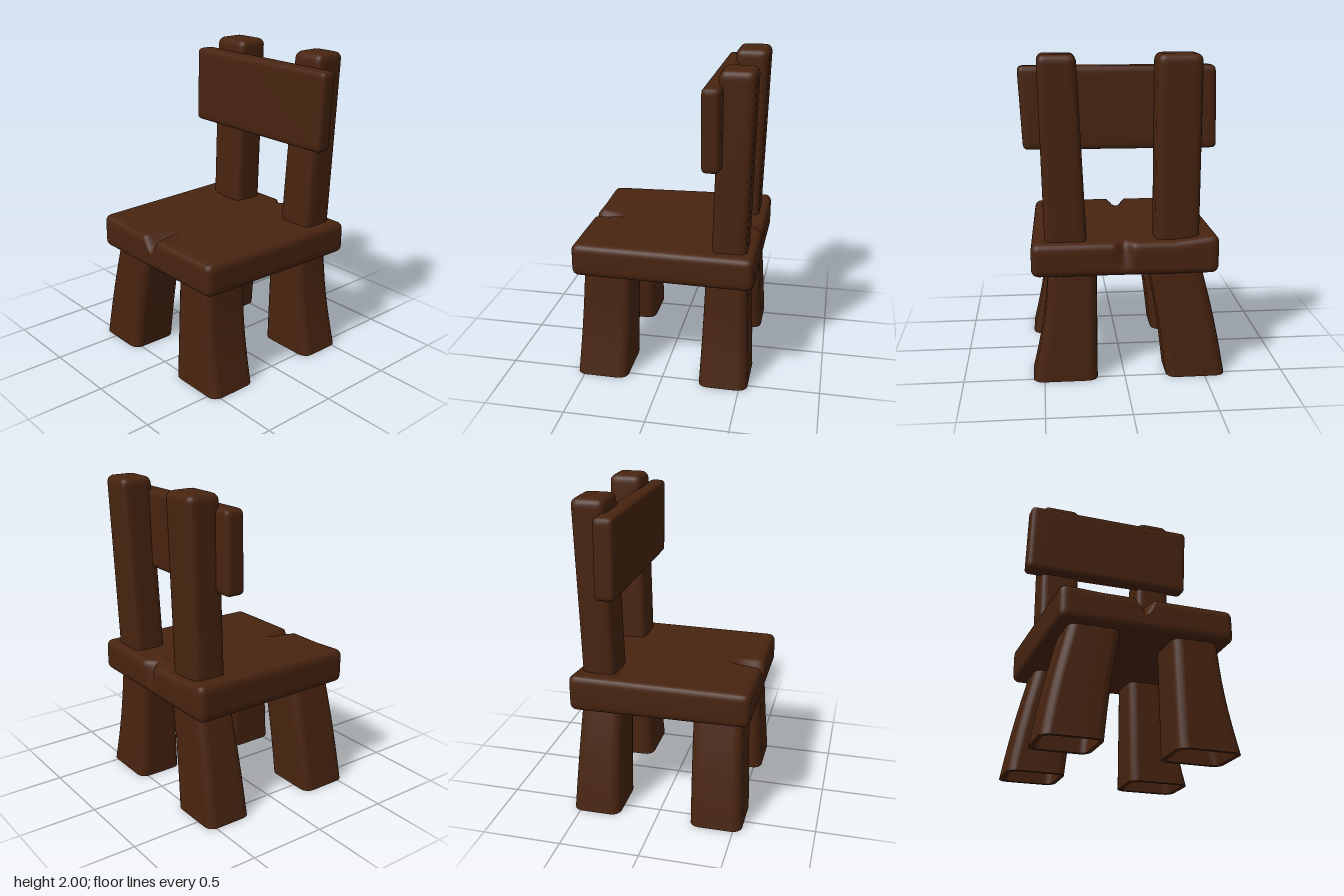
import * as THREE from 'three';
import { mergeVertices } from 'three/addons/utils/BufferGeometryUtils.js';

const lerp = THREE.MathUtils.lerp;
const clamp = THREE.MathUtils.clamp;

// Finely divided block with rounded edges, then bent by warp(v)
function roundedBlock(min, max, radius, warp) {
  const lo = new THREE.Vector3(...min), hi = new THREE.Vector3(...max);
  const size = hi.clone().sub(lo), mid = hi.clone().add(lo).multiplyScalar(0.5);
  const segs = size.toArray().map((s) => Math.ceil(s / 0.018));
  let geo = new THREE.BoxGeometry(...size.toArray(), ...segs);
  geo.translate(mid.x, mid.y, mid.z);
  geo.deleteAttribute('uv');
  geo.deleteAttribute('normal');
  geo = mergeVertices(geo, 1e-4);
  const innerLo = lo.clone().addScalar(radius), innerHi = hi.clone().subScalar(radius);
  const pos = geo.attributes.position;
  const p = new THREE.Vector3(), q = new THREE.Vector3();
  for (let i = 0; i < pos.count; i++) {
    p.fromBufferAttribute(pos, i);
    q.copy(p).clamp(innerLo, innerHi);
    p.sub(q).setLength(radius).add(q);
    warp(p);
    pos.setXYZ(i, p.x, p.y, p.z);
  }
  geo.computeVertexNormals();
  return geo;
}

// Rounded rectangle ring in the xz plane
function ring([x0, x1, z0, z1], y, r) {
  const pts = [];
  const corners = [[x1 - r, z1 - r], [x0 + r, z1 - r], [x0 + r, z0 + r], [x1 - r, z0 + r]];
  corners.forEach(([cx, cz], k) => {
    for (let j = 0; j <= 4; j++) {
      const a = (k + j / 4) * Math.PI / 2;
      pts.push([cx + r * Math.cos(a), y, cz + r * Math.sin(a)]);
    }
  });
  return pts;
}

// Skin over successive rings
function loft(rings) {
  const n = rings[0].length, index = [];
  for (let i = 0; i < rings.length - 1; i++) {
    for (let j = 0; j < n; j++) {
      const a = i * n + j, b = i * n + (j + 1) % n;
      index.push(a, b, a + n, b, b + n, a + n);
    }
  }
  const geo = new THREE.BufferGeometry();
  geo.setAttribute('position', new THREE.Float32BufferAttribute(rings.flat(2), 3));
  geo.setIndex(index);
  geo.computeVertexNormals();
  return geo;
}

// Hollow leg flaring towards the floor; top and foot are [x0, x1, z0, z1]
function legGeometry(top, foot, bend) {
  const height = 0.72, steps = 8;
  const section = (t) => top.map((v, i) =>
    lerp(v, foot[i], t) + (i < 2 ? bend[i] * Math.sin(Math.PI * t) : 0));
  const inset = ([a, b, c, d], k) => [a + k, b - k, c + k, d - k];
  const outer = [], inner = [];
  for (let i = 0; i <= steps; i++) {
    const t = i / steps, y = height * (1 - t);
    outer.push(ring(section(t), y, 0.06));
    inner.unshift(ring(inset(section(t), 0.025), y, 0.045));
  }
  // Separate rim keeps the foot edge sharp
  const rim = [outer[steps], inner[0]];
  return [loft(outer), loft(rim), loft(inner)];
}

export function createModel() {
  const model = new THREE.Group();
  model.name = 'chair';
  const wood = new THREE.MeshStandardMaterial({ color: 0x482410 });
  wood.name = 'dark wood';

  const add = (name, geo, parent = model) => {
    const mesh = new THREE.Mesh(geo, wood);
    mesh.name = name;
    parent.add(mesh);
  };

  // Seat plank with a split at the front and a chip at the back
  add('seat', roundedBlock([-0.57, 0.68, -0.57], [0.57, 0.89, 0.57], 0.045, (v) => {
    const up = clamp((v.y - 0.71) / 0.16, 0, 1);
    const back = (0.57 - v.z) / 1.14;
    const left = clamp((-v.x - 0.3) / 0.25, 0, 1);
    const split = clamp((v.z - 0.34) / 0.22, 0, 1);
    const half = (v.x < -0.015 ? 0.075 : 0.05) * (0.4 + 0.6 * split);
    const cut = Math.max(0, 1 - Math.abs(v.x + 0.015) / half);
    const chip = Math.max(0, 1 - Math.abs(v.x - 0.005) / 0.06);
    if (v.z < -0.45) v.z += 0.055 * chip * up;
    v.y += up * (0.012 * left + 0.018 * left * back - 0.09 * cut * split);
    v.x *= lerp(0.955, 1, back);
    if (v.x < 0) v.x -= 0.008 * (1 - back);
  }));

  // Back posts, leaning slightly
  add('rightBackPost', roundedBlock([-0.455, 0.8, -0.515], [-0.185, 2, -0.3], 0.045, (v) => {
    const t = (v.y - 0.88) / 1.12;
    v.z -= 0.035 * t;
    v.x += 0.004 * t;
  }));
  add('leftBackPost', roundedBlock([0.23, 0.8, -0.515], [0.485, 2, -0.3], 0.045, (v) => {
    const t = (v.y - 0.88) / 1.12;
    v.z -= 0.032 * t;
    v.x += lerp(0.055, 0.027, (v.x - 0.23) / 0.255) * t;
  }));

  // Wide backrest board
  add('backrest', roundedBlock([-0.57, 1.42, -0.36], [0.6, 1.92, -0.25], 0.03, (v) => {
    const t = (v.y - 1.42) / 0.5;
    v.x += lerp(0.014, 0.026, (v.x + 0.57) / 1.17) * t;
    if (v.z < -0.3) v.z -= 0.018 * (0.6 - v.x) / 1.17;
  }));

  // Four flared legs
  const sides = [
    ['right', [-0.47, -0.145], [-0.63, -0.26], [-0.01, -0.01]],
    ['left', [0.17, 0.465], [0.17, 0.57], [0, -0.02]],
  ];
  const ends = [
    ['Front', [0.2, 0.515], [0.22, 0.55]],
    ['Back', [-0.52, -0.26], [-0.55, -0.24]],
  ];
  for (const [side, topX, footX, bend] of sides) {
    for (const [end, topZ, footZ] of ends) {
      const leg = new THREE.Group();
      leg.name = `${side}${end}Leg`;
      const [outside, rim, inside] = legGeometry([...topX, ...topZ], [...footX, ...footZ], bend);
      add('legOutside', outside, leg);
      add('legRim', rim, leg);
      add('legInside', inside, leg);
      model.add(leg);
    }
  }
  return model;
}
